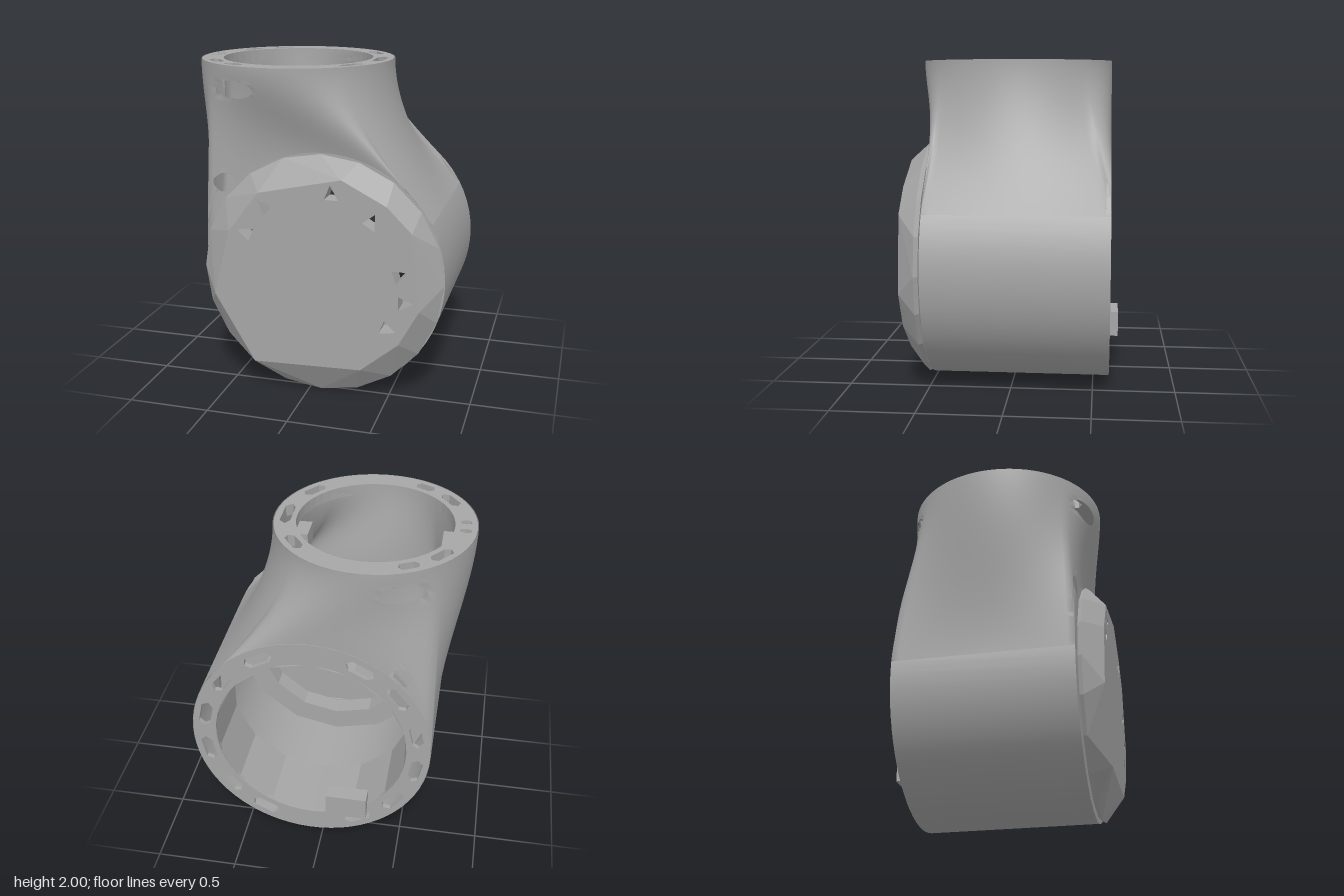
import * as THREE from 'three';
import { ConvexGeometry } from 'three/addons/geometries/ConvexGeometry.js';

const CX = 0.075, CY = 0.75;       // barrel axis
const NX = -0.22, NZ = 0.015;      // neck axis
const rad = THREE.MathUtils.degToRad, lerp = THREE.MathUtils.lerp;
const RIGHT = 28, LEFT = 5;        // degrees above the axis where the neck meets the barrel (+x, -x)

export function createModel() {
  const group = new THREE.Group();
  const grey = new THREE.MeshStandardMaterial({ color: 0xa6a6a6, side: THREE.DoubleSide });
  grey.name = 'casting grey';
  const flat = grey.clone();
  flat.flatShading = true;

  const add = (name, geo, x = 0, y = 0, z = 0, mat = grey) => {
    const m = new THREE.Mesh(geo, mat);
    m.name = name;
    m.position.set(x, y, z);
    group.add(m);
  };

  // Skin from a round neck mouth down to the barrel.
  // holes: [x, y, side of z, half width, half height]
  function neckSkin(mouthX, mouthZ, barrelR, zBack, zFront, holes) {
    const N = 160, M = 48, pos = [], idx = [], rims = new Map();
    const zm = (zBack + zFront) / 2, zh = (zFront - zBack) / 2;
    const xr = barrelR * Math.cos(rad(RIGHT)), xl = -barrelR * Math.cos(rad(LEFT));
    for (let j = 0; j <= M; j++) {
      const t = j / M;
      for (let i = 0; i < N; i++) {
        const a = (i / N) * Math.PI * 2, c = Math.cos(a), d = Math.sin(a);
        const k = 1 / Math.max(Math.abs(c), Math.abs(d));
        const dx = lerp(xl, xr, (c * k + 1) / 2);
        const by = CY + Math.sqrt(barrelR ** 2 - dx ** 2);
        const s = lerp(t * t * (3 - 2 * t), t ** 1.8, (1 + c) / 2);
        pos.push(lerp(NX + mouthX * c, CX + dx, s), lerp(2, by, t), lerp(NZ + mouthZ * d, zm + zh * d * k, s));
      }
    }
    const dist = ([x, y, , w, h], px, py) => Math.hypot((px - x) / w, (py - y) / h);
    for (let j = 0; j < M; j++) for (let i = 0; i < N; i++) {
      const a = j * N + i, b = j * N + (i + 1) % N, c = a + N, d = b + N;
      const mid = (o) => (pos[a * 3 + o] + pos[b * 3 + o] + pos[c * 3 + o] + pos[d * 3 + o]) / 4;
      const hole = holes.find((h) => mid(2) * h[2] > 0 && dist(h, mid(0), mid(1)) < 1);
      if (hole) for (const v of [a, b, c, d]) rims.set(v, hole);
      else idx.push(a, b, c, b, d, c);
    }
    // draw the vertices round each hole onto a clean oval
    for (const [v, h] of rims) {
      const q = 1 / Math.max(0.05, dist(h, pos[v * 3], pos[v * 3 + 1]));
      pos[v * 3] = lerp(h[0], pos[v * 3], q);
      pos[v * 3 + 1] = lerp(h[1], pos[v * 3 + 1], q);
    }
    const g = new THREE.BufferGeometry();
    g.setAttribute('position', new THREE.Float32BufferAttribute(pos, 3));
    g.setIndex(idx);
    g.computeVertexNormals();
    return g;
  }
  const windows = [
    [-0.45, 1.86, 1, 0.13, 0.055], [-0.55, 1.28, 1, 0.075, 0.06],
    [-0.45, 1.86, -1, 0.13, 0.055], [-0.47, 1.32, -1, 0.075, 0.06]];
  add('neckOuter', neckSkin(0.605, 0.615, 0.75, -0.6, 0.5, windows));
  add('neckInner', neckSkin(0.47, 0.47, 0.7, -0.45, 0.42, []));

  // Open lower part of the barrel, outside and inside
  function trough(r, zBack, zFront) {
    const g = new THREE.CylinderGeometry(r, r, zFront - zBack, 40, 1, true,
      -rad(90 + LEFT), rad(180 + LEFT + RIGHT));
    return g.rotateX(Math.PI / 2).translate(0, 0, (zBack + zFront) / 2);
  }
  add('barrelOuter', trough(0.75, -0.6, 0.5), CX, CY);
  add('barrelInner', trough(0.7, -0.17, 0.38), CX, CY);
  add('barrelFront', new THREE.RingGeometry(0.55, 0.75, 48), CX, CY, 0.5);

  // Flat rim pierced with slots; slots: [angle, half length] in degrees
  function slottedRim(outer, inner, depth, list, w, segments) {
    const shape = new THREE.Shape().absarc(0, 0, outer, 0, Math.PI * 2);
    shape.holes.push(new THREE.Path().absarc(0, 0, inner, 0, Math.PI * 2, true));
    const mid = (outer + inner) / 2;
    for (const [deg, half] of list) {
      const a = rad(deg), h = rad(half);
      const p = [[mid, -h], [mid + w, -h * 0.7], [mid + w, h * 0.7], [mid, h], [mid - w, h * 0.7], [mid - w, -h * 0.7]];
      shape.holes.push(new THREE.Path(p.map(([r, b]) =>
        new THREE.Vector2(r * Math.cos(a + b), r * Math.sin(a + b)))));
    }
    return new THREE.ExtrudeGeometry(shape, { depth, bevelEnabled: false, curveSegments: segments });
  }
  const topSlots = [[0, 13], [37, 9], [-37, 9], [142, 9], [-142, 9], [118, 7], [-118, 7], [176, 2.5], [-173, 2.5]];
  const top = slottedRim(0.603, 0.47, 0.07, topSlots, 0.032, 24);
  add('neckRim', top.scale(0.995, 1.01, 1).rotateX(-Math.PI / 2), NX, 1.93, NZ);
  const backSlots = [];
  for (const a of [12, 38, 63]) for (const s of [a, -a, 180 - a, 180 + a]) backSlots.push([s, 8]);
  add('backRim', slottedRim(0.748, 0.6, 0.03, backSlots, 0.036, 24), CX, CY, -0.6);

  // Collars inside the back and front of the barrel
  function collar(name, inner, zBack, zFront) {
    const h = zFront - zBack;
    const pts = [[0.7, h], [inner, h], [inner, 0]].map(([x, y]) => new THREE.Vector2(x, y));
    add(name, new THREE.LatheGeometry(pts, 14).rotateX(Math.PI / 2), CX, CY, zBack, flat);
  }
  collar('backCollar', 0.605, -0.598, -0.17);
  collar('frontCollar', 0.55, 0.5, 0.37);
  add('backTab', new THREE.BoxGeometry(0.26, 0.16, 0.1), -0.16, 0.28, -0.61);

  // Stops inside the neck mouth
  add('neckStop', new THREE.BoxGeometry(0.08, 0.12, 0.16), 0.21, 1.86, 0);
  add('neckStop', new THREE.BoxGeometry(0.08, 0.12, 0.16), -0.66, 1.86, 0.02);

  // Faceted front cap: bevelled skirt with a thick pierced face
  const face = [[-0.57, 0.61], [-0.32, 0.19], [0.35, 0.21], [0.58, 0.4], [0.7, 0.62], [0.65, 1.09],
    [0.5, 1.24], [0.23, 1.38], [-0.28, 1.27], [-0.47, 1.02]];
  const pts = face.map(([x, y]) => new THREE.Vector3(x, y, 0.65));
  for (let i = 0; i < 20; i++) {
    const a = (i / 20) * Math.PI * 2 + Math.PI / 2;
    for (const [r, z] of [[0.75, 0.535], [0.735, 0.51]]) {
      pts.push(new THREE.Vector3(CX + r * Math.cos(a), CY + r * Math.sin(a), z));
    }
  }
  const hp = new ConvexGeometry(pts).attributes.position, skirt = [];
  for (let i = 0; i < hp.count; i += 3) {
    const z = [0, 1, 2].map((k) => hp.getZ(i + k));
    if (Math.max(...z) - Math.min(...z) < 0.01) continue;
    for (let k = 0; k < 3; k++) skirt.push(hp.getX(i + k), hp.getY(i + k), z[k]);
  }
  const skirtGeo = new THREE.BufferGeometry();
  skirtGeo.setAttribute('position', new THREE.Float32BufferAttribute(skirt, 3));
  skirtGeo.computeVertexNormals();
  add('capSkirt', skirtGeo, 0, 0, 0, flat);
  add('capBack', new THREE.RingGeometry(0.55, 0.735, 20), CX, CY, 0.51);

  const plate = new THREE.Shape(face.map(([x, y]) => new THREE.Vector2(x, y)));
  const notches = [[-0.24, 1.19], [-0.36, 1.02], [0.17, 1.29], [0.41, 1.14], [0.58, 0.83], [0.61, 0.66], [0.51, 0.49], [0.39, 0.31]];
  for (const [x, y] of notches) {
    const out = Math.atan2(y - CY, x - CX);
    plate.holes.push(new THREE.Path([0.3, 2.4, 4.2].map((b) =>
      new THREE.Vector2(x + 0.055 * Math.cos(out + b), y + 0.055 * Math.sin(out + b)))));
  }
  const plateGeo = new THREE.ExtrudeGeometry(plate, { depth: 0.13, bevelEnabled: false });
  add('capFace', plateGeo, 0, 0, 0.52, flat);

  return group;
}
